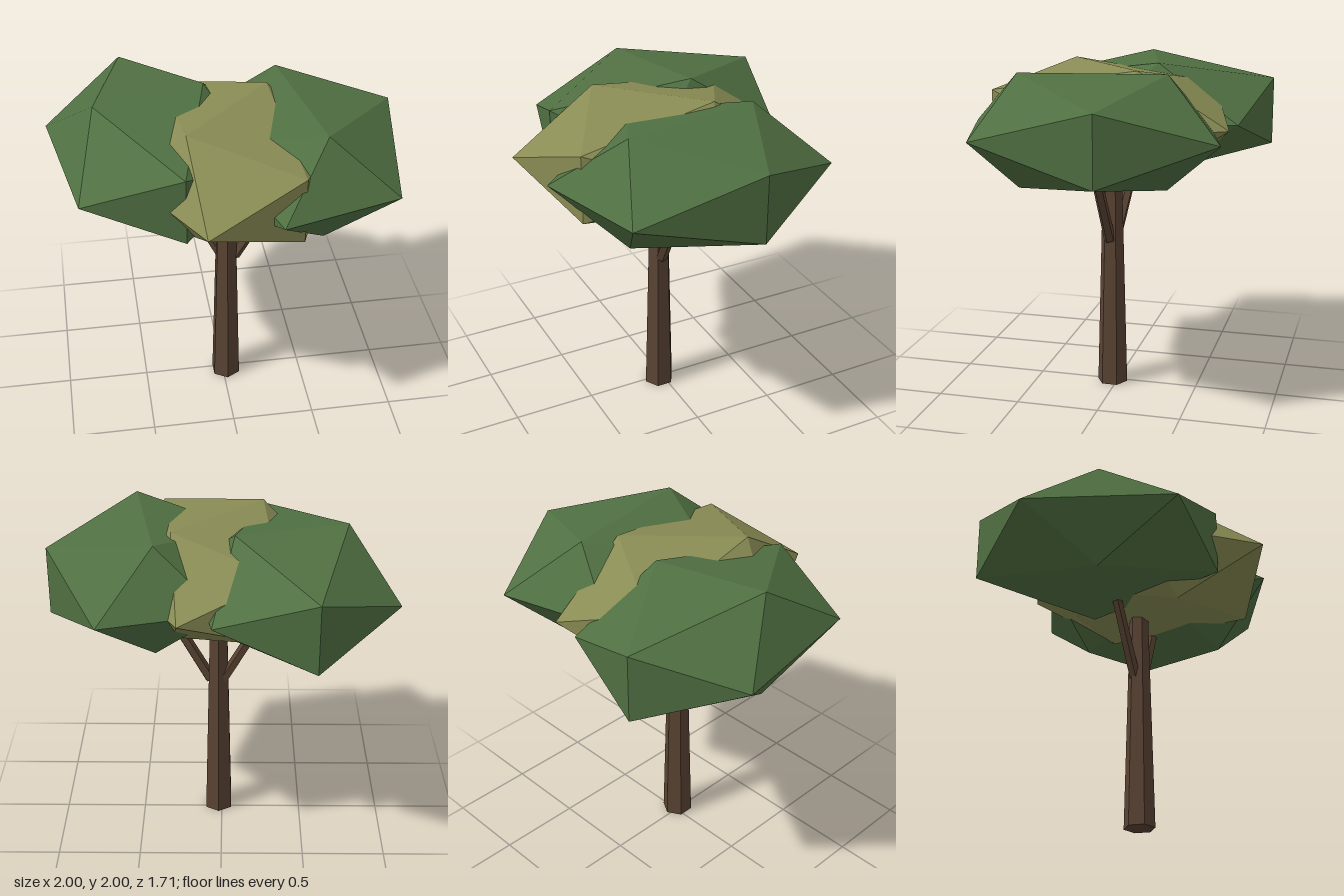
import * as THREE from 'three';

const material = (name, color) => {
  const m = new THREE.MeshStandardMaterial({ color, flatShading: true });
  m.name = name;
  return m;
};

export function createModel() {
  const tree = new THREE.Group();
  tree.name = 'tree';
  const green = material('leaf green', 0x507042);
  const olive = material('olive leaf', 0x898c54);
  const brown = material('bark brown', 0x5a4433);

  const add = (name, geometry, mat) => {
    const mesh = new THREE.Mesh(geometry, mat);
    mesh.name = name;
    tree.add(mesh);
    return mesh;
  };

  // Foliage: icosahedra flattened and stretched along two ground axes, given as [x, z]
  const foliage = (name, mat, center, xAxis, zAxis) => {
    const basis = new THREE.Matrix4().makeBasis(
      new THREE.Vector3(xAxis[0], 0, xAxis[1]),
      new THREE.Vector3(0, 0.388, 0),
      new THREE.Vector3(zAxis[0], 0, zAxis[1])
    ).setPosition(center[0], 1.67, center[1]);
    const geometry = new THREE.IcosahedronGeometry(1, 0).applyMatrix4(basis);
    geometry.computeVertexNormals();
    add(name, geometry, mat);
  };
  foliage('rightFoliage', green, [-0.4, -0.14], [0.617, -0.17], [0.141, 0.846]);
  foliage('leftFoliage', green, [0.445, 0.035], [0.135, 0.793], [-0.652, 0.182]);
  foliage('middleFoliage', olive, [0.02, 0.07], [0.505, -0.488], [0.4, 0.693]);

  // Tapered limbs between two points
  const limb = (name, from, to, rBottom, rTop, sides) => {
    const a = new THREE.Vector3(...from), b = new THREE.Vector3(...to);
    const dir = b.clone().sub(a);
    const mesh = add(name, new THREE.CylinderGeometry(rTop, rBottom, dir.length(), sides), brown);
    mesh.position.copy(a).add(b).multiplyScalar(0.5);
    mesh.quaternion.setFromUnitVectors(new THREE.Vector3(0, 1, 0), dir.normalize());
  };
  limb('trunk', [0.02, 0, 0.03], [0.02, 1.5, 0.03], 0.094, 0.055, 6);
  limb('rightBranch', [-0.01, 0.95, 0.01], [-0.3, 1.5, -0.07], 0.034, 0.03, 5);
  limb('leftBranch', [0.07, 0.94, 0.035], [0.385, 1.5, 0.055], 0.036, 0.032, 5);

  return tree;
}
